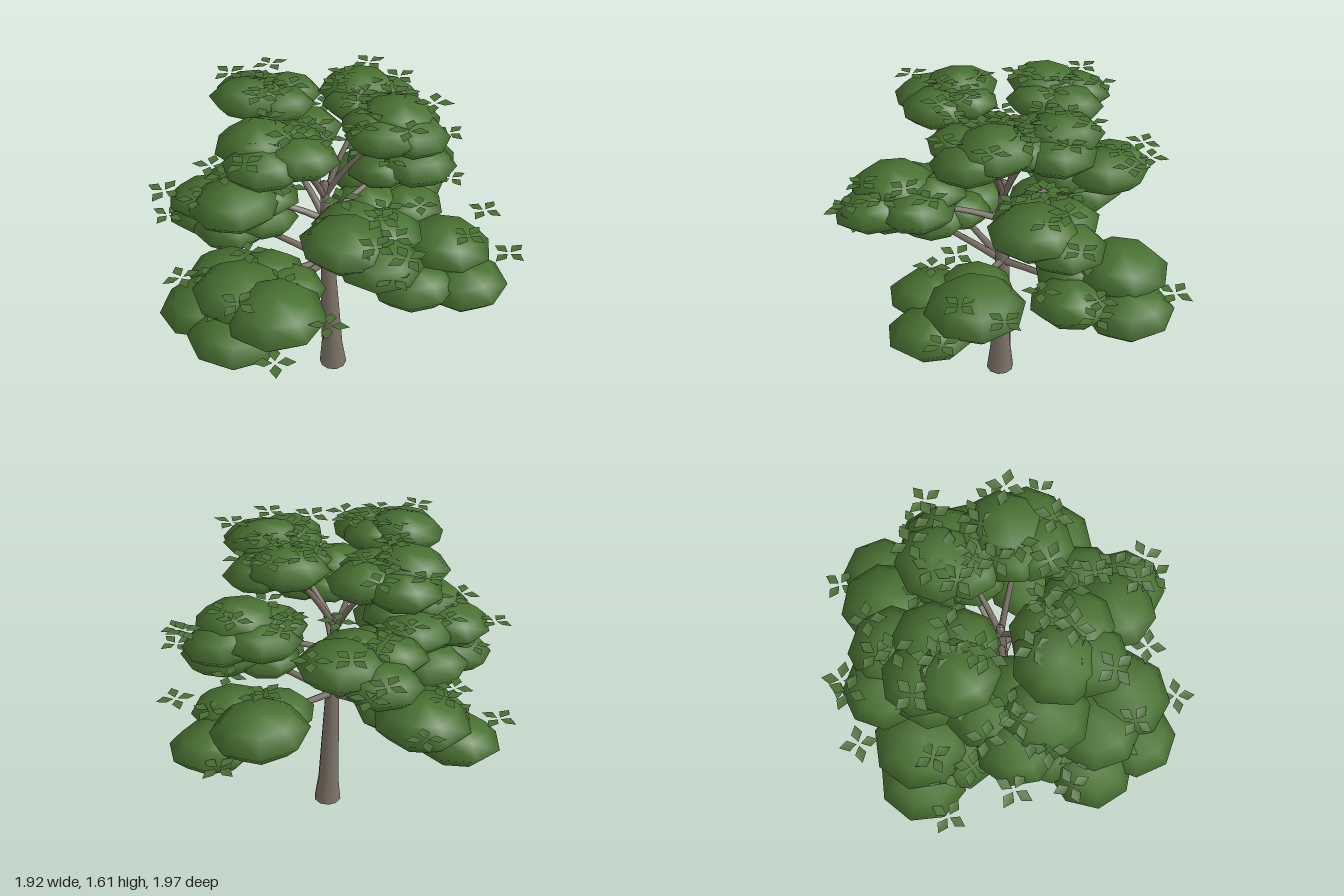
import * as THREE from 'three';

const V = (x, y, z) => new THREE.Vector3(x, y, z);

// small seeded generator for natural variation
function seeded(seed) {
  return () => {
    seed = (seed * 16807) % 2147483647;
    return seed / 2147483647;
  };
}

// canopy tiers; each pad is x, z of its outer clump and the turn of its upper clump
const TIERS = [
  {
    name: 'lower', y: 0.765, rise: 0.085, r: 0.213, h: 0.09, sprigs: 1, fork: 0.7, branch: 0.02,
    pads: [[0.17, -0.74, -0.24], [0.7, 0, -0.25], [-0.15, 0.76, -0.2], [-0.37, 0.62, -0.2], [-0.74, -0.1, 0.14]],
  },
  {
    name: 'middle', y: 1.13, rise: 0.045, r: 0.195, h: 0.077, sprigs: 2, fork: 0.94, branch: 0.019,
    pads: [[0.31, -0.46, 0.2], [-0.49, -0.38, 0.26], [-0.5, 0.28, -0.3], [0.42, 0.46, 0.2]],
  },
  {
    name: 'upper', y: 1.49, rise: 0.03, r: 0.178, h: 0.072, sprigs: 2, fork: 1.08, branch: 0.017,
    pads: [[-0.47, -0.17, -0.25], [0.15, -0.35, -0.3], [0.39, -0.04, -0.25], [-0.12, 0.45, 0.28]],
  },
];

// clumps of one pad: share of reach, share of turn, share of rise, size
const PAD_CLUMPS = [[1, 0, 0, 1], [0.83, 1, 1, 1.1], [0.72, -1, 0.2, 0.98], [0.55, 0.4, 0.5, 0.9]];

// sprigs reaching past the edge of the canopy: x, y, z
const EDGE_SPRIGS = [
  [0.01, 0.81, -0.91], [0.44, 0.89, -0.68], [-0.54, 1.17, -0.57], [-0.74, 0.95, -0.42],
  [-0.87, 0.81, 0.09], [-0.7, 1.16, 0.35], [0.11, 0.81, 0.89], [0.27, 0.89, 0.67],
  [0.52, 1.15, 0.57], [0.88, 0.88, -0.15], [0.7, 0.95, -0.36],
];

// sideways lean of the trunk at a height
const lean = (y) => 0.028 - 0.048 * Math.min(1, y / 1.1);

// four pointed leaves in a shallow cross
function sprigGeometry() {
  const outline = [[0.01, 0], [0.052, 0.027], [0.093, 0], [0.048, -0.027]];
  const pos = [], index = [];
  for (let i = 0; i < 4; i++) {
    const a = (i * Math.PI) / 2, c = Math.cos(a), s = Math.sin(a), b = i * 4;
    for (const [l, w] of outline) pos.push(c * l + s * w, Math.abs(w) * 0.2, c * w - s * l);
    index.push(b, b + 1, b + 2, b, b + 2, b + 3);
  }
  const g = new THREE.BufferGeometry();
  g.setAttribute('position', new THREE.Float32BufferAttribute(pos, 3));
  g.setIndex(index);
  g.computeVertexNormals();
  return g;
}

// squashed faceted ball that keeps round normals for soft shading
function clumpGeometry(r, h) {
  const g = new THREE.SphereGeometry(1, 8, 4);
  g.attributes.position.applyMatrix4(new THREE.Matrix4().makeScale(r, h, r));
  return g;
}

// trunk flared at the foot and leaning slightly
function trunkGeometry() {
  const profile = [[0.073, 0], [0.056, 0.14], [0.047, 0.4], [0.037, 0.68], [0.02, 1.16], [0, 1.17]];
  const g = new THREE.LatheGeometry(profile.map(([r, y]) => new THREE.Vector2(r, y)), 10);
  const p = g.attributes.position;
  for (let i = 0; i < p.count; i++) p.setX(i, p.getX(i) + lean(p.getY(i)));
  return g;
}

// smooth tube that narrows to its tip
function taperedTube(curve, radius, tip) {
  const rows = 8, sides = 6;
  const g = new THREE.TubeGeometry(curve, rows, radius, sides);
  const p = g.attributes.position, v = V(0, 0, 0);
  for (let i = 0; i < p.count; i++) {
    const t = Math.floor(i / (sides + 1)) / rows;
    const centre = curve.getPointAt(t);
    v.fromBufferAttribute(p, i).sub(centre).multiplyScalar(1 + (tip - 1) * t).add(centre);
    p.setXYZ(i, v.x, v.y, v.z);
  }
  return g;
}

// branch sweeping out from the trunk and up into a pad
function branchGeometry(tier, x, z) {
  const start = lean(tier.fork), climb = tier.y - tier.fork;
  const steps = [[0, 0], [0.2, 0.35], [0.45, 0.68], [0.72, 1]];
  const points = steps.map(([out, up]) => V(start + (x - start) * out, tier.fork + climb * up, z * out));
  return taperedTube(new THREE.CatmullRomCurve3(points), tier.branch, 0.6);
}

export function createModel() {
  const tree = new THREE.Group();
  tree.name = 'tieredTree';
  const bark = new THREE.MeshStandardMaterial({ color: 0x7d7468 });
  bark.name = 'bark';
  const foliage = new THREE.MeshStandardMaterial({ color: 0x4a7233 });
  foliage.name = 'foliage';
  const leaf = new THREE.MeshStandardMaterial({ color: 0x486d34, side: THREE.DoubleSide });
  leaf.name = 'leaf';
  const rand = seeded(4217);

  const add = (parent, name, geometry, material) => {
    const m = new THREE.Mesh(geometry, material);
    m.name = name;
    parent.add(m);
    return m;
  };
  // place with a random heading and a slight tilt
  const settle = (mesh, x, y, z) => {
    mesh.position.set(x, y, z);
    mesh.rotation.set((rand() - 0.5) * 0.18, rand() * 2 * Math.PI, (rand() - 0.5) * 0.18, 'YXZ');
  };

  add(tree, 'trunk', trunkGeometry(), bark);
  const foot = add(tree, 'trunkFoot', new THREE.CircleGeometry(0.073, 10), bark);
  foot.rotation.x = Math.PI / 2;
  foot.position.x = lean(0);

  const sprigGeo = sprigGeometry();

  for (const tier of TIERS) {
    const canopy = new THREE.Group();
    canopy.name = tier.name + 'Canopy';
    tree.add(canopy);
    const clumpGeo = clumpGeometry(tier.r, tier.h);

    for (const [px, pz, turn] of tier.pads) {
      add(canopy, tier.name + 'Branch', branchGeometry(tier, px, pz), bark);
      const reach = Math.hypot(px, pz), heading = Math.atan2(pz, px);

      for (const [out, swing, lift, size] of PAD_CLUMPS) {
        const angle = heading + swing * turn;
        const x = Math.cos(angle) * reach * out;
        const z = Math.sin(angle) * reach * out;
        const y = tier.y + lift * tier.rise;
        const clump = add(canopy, tier.name + 'Clump', clumpGeo, foliage);
        clump.scale.setScalar(size);
        settle(clump, x, y, z);

        // sprigs resting on the clump
        for (let k = 0; k < tier.sprigs; k++) {
          const a = rand() * 2 * Math.PI, d = tier.r * (0.35 + 0.55 * rand());
          const sprig = add(canopy, 'leafSprig', sprigGeo, leaf);
          settle(sprig, x + Math.cos(a) * d, y + tier.h * (0.95 + 0.2 * rand()), z + Math.sin(a) * d);
        }
      }
    }
  }

  const edge = new THREE.Group();
  edge.name = 'edgeSprigs';
  tree.add(edge);
  for (const [x, y, z] of EDGE_SPRIGS) settle(add(edge, 'leafSprig', sprigGeo, leaf), x, y, z);
  return tree;
}
